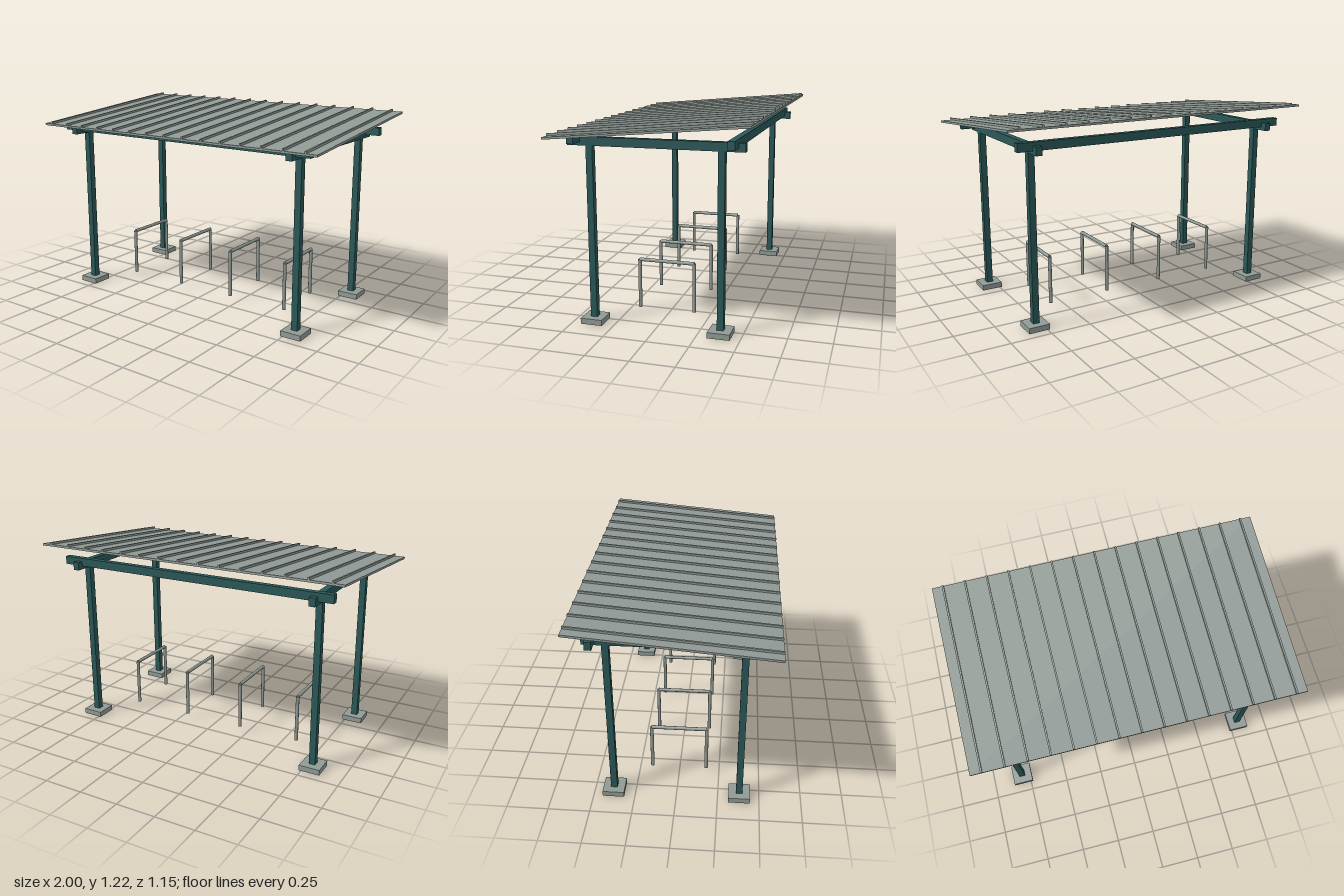
import * as THREE from 'three';

export function createModel() {
  const model = new THREE.Group();
  model.name = 'shelter';

  const paint = new THREE.MeshStandardMaterial({ color: 0x2b5858 });
  paint.name = 'dark teal paint';
  const metal = new THREE.MeshStandardMaterial({ color: 0x919b96 });
  metal.name = 'galvanised grey';

  function add(parent, geometry, material, name, x, y, z) {
    const mesh = new THREE.Mesh(geometry, material);
    mesh.name = name;
    mesh.position.set(x, y, z);
    parent.add(mesh);
    return mesh;
  }
  const box = (w, h, d) => new THREE.BoxGeometry(w, h, d);

  // Posts on square footings
  for (const x of [-0.8, 0.8]) {
    for (const z of [-0.38, 0.38]) {
      add(model, box(0.13, 0.034, 0.13), metal, 'footing', x, 0.017, z);
      add(model, box(0.039, 1.039, 0.039), paint, 'post', x, 0.5535, z);
    }
    // Side beams running front to back
    add(model, box(0.039, 0.05, 1.02), paint, 'sideBeam', x, 1.07, 0);
  }

  // Long purlins resting across the side beams
  for (const z of [-0.453, 0.453]) {
    add(model, box(1.82, 0.05, 0.039), paint, 'purlin', 0, z > 0 ? 1.089 : 1.091, z);
  }

  // Sloping roof sheet with standing ribs
  const roof = new THREE.Group();
  roof.name = 'roof';
  roof.position.set(0, 1.153, 0);
  roof.rotation.x = THREE.MathUtils.degToRad(5);
  model.add(roof);
  add(roof, box(2, 0.013, 1.153), metal, 'roofSheet', 0, 0, 0);
  for (let i = -7; i <= 7; i++) {
    add(roof, box(0.011, 0.013, 1.153), metal, 'roofRib', i * 0.1333, 0.013, 0);
  }

  // Tubular bicycle hoops
  const leg = new THREE.CylinderGeometry(0.011, 0.011, 0.3, 10);
  const rail = new THREE.CylinderGeometry(0.011, 0.011, 0.338, 10);
  for (const x of [-0.6, -0.2, 0.2, 0.6]) {
    const hoop = new THREE.Group();
    hoop.name = 'bikeHoop';
    hoop.position.x = x;
    for (const z of [-0.169, 0.169]) add(hoop, leg, metal, 'hoopLeg', 0, 0.186, z);
    add(hoop, rail, metal, 'hoopRail', 0, 0.336, 0).rotation.x = Math.PI / 2;
    model.add(hoop);
  }

  return model;
}
